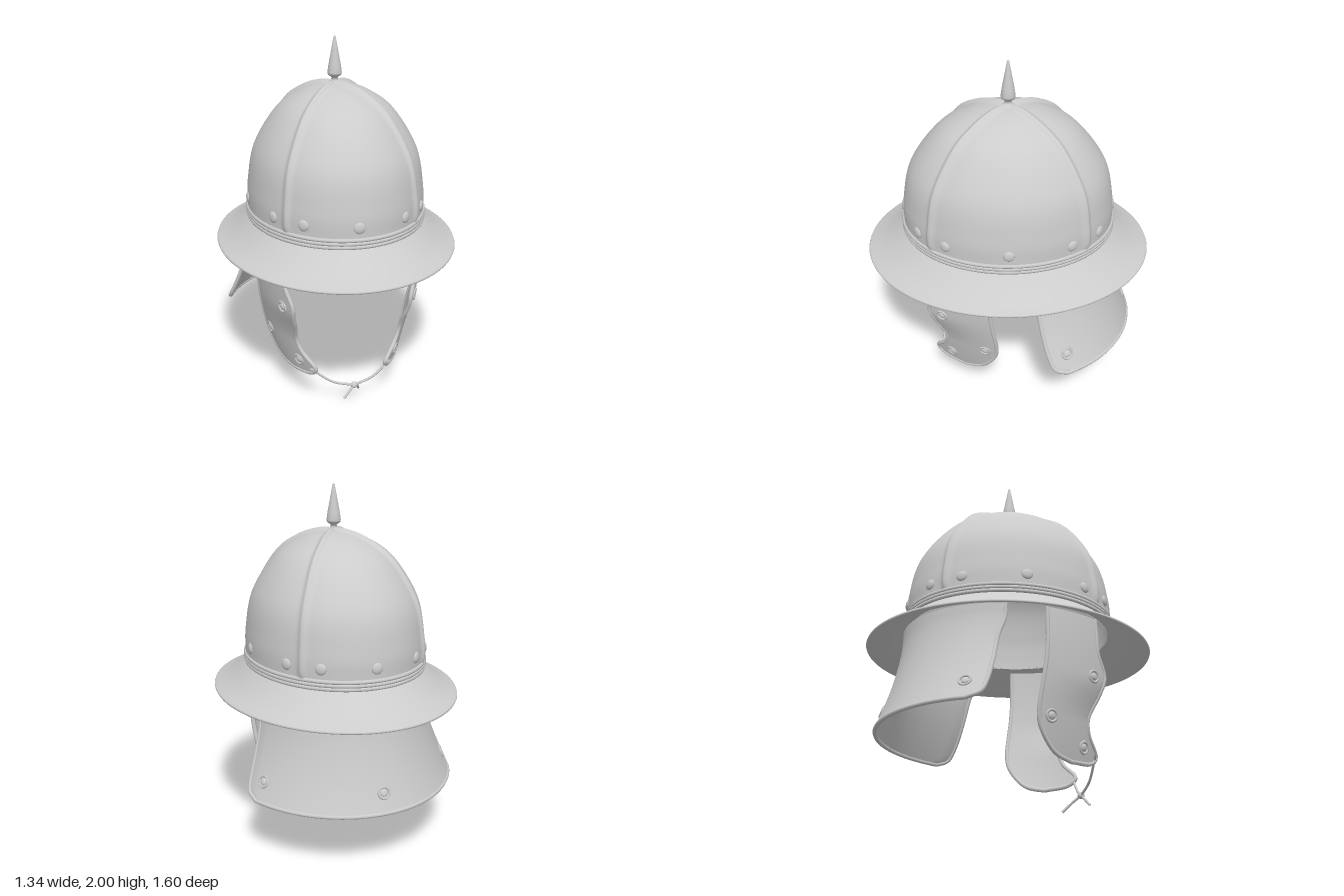
import * as THREE from 'three';
import { mergeVertices } from 'three/addons/utils/BufferGeometryUtils.js';

const SX = 0.8375; // the helmet is an oval: narrower in x than in z
const mat = new THREE.MeshStandardMaterial({ color: 0xcccccc, side: THREE.DoubleSide });
const V = (x, y, z = 0) => new THREE.Vector3(x, y, z);
const curve = (pts) => new THREE.CatmullRomCurve3(pts);

function add(parent, name, geo) {
  const m = new THREE.Mesh(geo, mat);
  m.name = name;
  parent.add(m);
  return m;
}

function ovalLathe(pts, segments = 128) {
  return new THREE.LatheGeometry(pts.map(([r, y]) => new THREE.Vector2(r, y)), segments).scale(SX, 1, 1);
}

const domeProfile = new THREE.SplineCurve([
  [0.583, 1.0], [0.586, 1.08], [0.58, 1.2], [0.532, 1.4], [0.385, 1.6], [0.232, 1.695], [0.1, 1.736], [0, 1.742],
].map(([r, y]) => new THREE.Vector2(r, y))).getPoints(40);

// Bowl with four raised diagonal ridges
function domeGeometry() {
  const g = new THREE.LatheGeometry(domeProfile, 320);
  const p = g.attributes.position, n = g.attributes.normal;
  for (let i = 0; i < p.count; i++) {
    const x = p.getX(i), y = p.getY(i), z = p.getZ(i);
    const r = Math.hypot(x, z), a = Math.atan2(Math.abs(x), Math.abs(z)) - Math.PI / 4;
    const fade = THREE.MathUtils.smoothstep(y, 1.04, 1.1);
    const h = 0.018 * fade * Math.exp(-((r * a / 0.02) ** 2));
    p.setXYZ(i, x + n.getX(i) * h, y + n.getY(i) * h, z + n.getZ(i) * h);
  }
  g.deleteAttribute('normal');
  g.deleteAttribute('uv');
  const merged = mergeVertices(g.scale(SX, 1, 1), 1e-5);
  merged.computeVertexNormals();
  return merged;
}

// Low domed rivet, optionally with a raised ring around it
function rivet(parent, pos, normal, ringed) {
  const g = new THREE.Group();
  g.name = 'rivet';
  const head = add(g, 'rivetHead', new THREE.SphereGeometry(ringed ? 0.02 : 0.031, 16, 10));
  head.scale.z = 0.4;
  if (ringed) add(g, 'rivetRing', new THREE.TorusGeometry(0.03, 0.007, 6, 24));
  g.position.copy(pos);
  g.quaternion.setFromUnitVectors(V(0, 0, 1), normal.clone().normalize());
  parent.add(g);
}

// Curved sheet between two edges; map(a, y, inset) bends it into space
function plate(parent, name, edgeA, edgeB, map, studs) {
  const group = new THREE.Group();
  group.name = name;
  parent.add(group);
  const rows = 60, cols = 24, ring = 2 * (cols + 1), thick = 0.014;
  const A = curve(edgeA.map(([a, y]) => V(a, y))), B = curve(edgeB.map(([a, y]) => V(a, y)));
  const pos = [], idx = [];
  for (let i = 0; i <= rows; i++) {
    const pa = A.getPoint(i / rows), pb = B.getPoint(i / rows);
    for (let k = 0; k < ring; k++) {
      const outer = k <= cols;
      const q = pa.clone().lerp(pb, (outer ? k : ring - 1 - k) / cols);
      pos.push(...map(q.x, q.y, outer ? 0 : thick).toArray());
      if (i === rows) continue;
      const a = i * ring + k, b = i * ring + (k + 1) % ring;
      idx.push(a, a + ring, b, b, a + ring, b + ring);
    }
  }
  const g = new THREE.BufferGeometry();
  g.setAttribute('position', new THREE.Float32BufferAttribute(pos, 3));
  g.setIndex(idx);
  g.computeVertexNormals();
  add(group, name + 'Sheet', g);

  // Rolled rim down one edge, along the bottom and up the other
  const line = A.getPoints(50);
  const endA = A.getPoint(1), endB = B.getPoint(1);
  if (endA.distanceTo(endB) > 0.01) for (let i = 1; i < 30; i++) line.push(endA.clone().lerp(endB, i / 30));
  line.push(...B.getPoints(50).reverse().slice(endA.distanceTo(endB) > 0.01 ? 0 : 1));
  add(group, name + 'Rim', new THREE.TubeGeometry(curve(line.map((q) => map(q.x, q.y, thick / 2))), 200, 0.012, 8));

  // Studs sit square to the outer face
  for (const [a, y] of studs) {
    const p = map(a, y, 0);
    const n = map(a + 0.01, y, 0).sub(p).cross(map(a, y + 0.01, 0).sub(p)).normalize();
    if (n.dot(p.clone().sub(map(a, y, thick))) < 0) n.negate();
    rivet(group, p, n, true);
  }
}

export function createModel() {
  const model = new THREE.Group();
  model.name = 'helmet';

  // Bowl, lining, band and brim
  add(model, 'bowl', domeGeometry());
  add(model, 'lining', ovalLathe(domeProfile.map((p) => [p.x * 0.97, p.y - 0.02]).reverse()));
  for (const y of [1.022, 1.041, 1.06]) {
    add(model, 'bandRing', new THREE.TorusGeometry(0.586, 0.0115, 8, 128).rotateX(Math.PI / 2).scale(SX, 1, 1));
    model.children.at(-1).position.y = y;
  }
  add(model, 'brim', ovalLathe([
    [0.565, 0.985], [0.6, 0.968], [0.68, 0.913], [0.785, 0.866], [0.798, 0.864], [0.801, 0.87],
    [0.798, 0.877], [0.785, 0.881], [0.735, 0.902], [0.68, 0.934], [0.62, 0.982], [0.585, 1.012],
  ]));

  // Rivets around the bowl
  for (const deg of [0, 33.5, 55, 90, 125, 146.5, 180, 213.5, 235, 270, 305, 326.5]) {
    const s = Math.sin(deg * Math.PI / 180), c = Math.cos(deg * Math.PI / 180);
    rivet(model, V(0.585 * SX * s, 1.125, 0.585 * c), V(s / SX, 0.04, c), false);
  }

  // Spike finial
  add(model, 'spike', new THREE.LatheGeometry([
    [0.045, 1.735], [0.03, 1.752], [0.016, 1.758], [0.02, 1.766], [0.016, 1.774], [0.036, 1.788],
    [0.039, 1.8], [0.034, 1.84], [0.019, 1.92], [0.006, 1.99], [0, 2],
  ].map(([r, y]) => new THREE.Vector2(r, y)), 32));

  // Cheek guards: edges given as (z, y)
  const front = [[0.395, 0.95], [0.4, 0.85], [0.405, 0.76], [0.447, 0.635], [0.42, 0.545],
    [0.357, 0.41], [0.366, 0.33], [0.42, 0.235], [0.385, 0.195], [0.26, 0.178]];
  const back = [[0.11, 0.95], [0.11, 0.85], [0.11, 0.76], [0.1, 0.635], [0.087, 0.545],
    [0.07, 0.41], [0.078, 0.33], [0.135, 0.235], [0.18, 0.2], [0.26, 0.178]];
  for (const side of [1, -1]) {
    const bend = (z, y, inset) => {
      const k = 1.03 - 0.35 * THREE.MathUtils.smoothstep(y, 0.38, 0.62);
      return V(side * (0.485 - 0.22 * (0.9 - y) ** 2 - k * z * z - inset), y, z);
    };
    plate(model, side > 0 ? 'leftCheekGuard' : 'rightCheekGuard', front, back, bend,
      [[0.377, 0.62], [0.138, 0.377], [0.335, 0.26]]);
  }

  // Neck guard: edges given as (angle from the back, y), flaring downwards
  const edge = [[1.38, 0.95], [1.37, 0.865], [1.315, 0.76], [1.275, 0.6], [1.24, 0.48], [1.2, 0.41], [1.1, 0.377]];
  const flare = (a, y, inset) => {
    const f = (Math.max(0, 0.9 - y) / 0.523) ** 1.6;
    return V((0.49 + 0.17 * f - inset) * Math.sin(a), y, -(0.6 + 0.127 * f - inset) * Math.cos(a));
  };
  plate(model, 'neckGuard', edge, edge.map(([a, y]) => [-a, y]), flare,
    [[1.08, 0.48], [0, 0.48], [-1.08, 0.48]]);

  // Tied chin cord with two loose ends
  const knot = V(0.025, 0.09, 0.398);
  const cords = [
    [V(-0.225, 0.235, 0.41), V(-0.1, 0.135, 0.41), knot],
    [V(0.225, 0.235, 0.41), V(0.13, 0.14, 0.41), knot],
    [knot, V(0, 0.065, 0.41), V(-0.04, 0.025, 0.425)],
    [knot, V(0.055, 0.055, 0.355), V(0.073, 0.006, 0.305)],
  ];
  for (const pts of cords) add(model, 'chinCord', new THREE.TubeGeometry(curve(pts), 24, 0.007, 8));
  add(model, 'cordKnot', new THREE.SphereGeometry(0.019, 16, 12)).position.copy(knot);

  return model;
}
